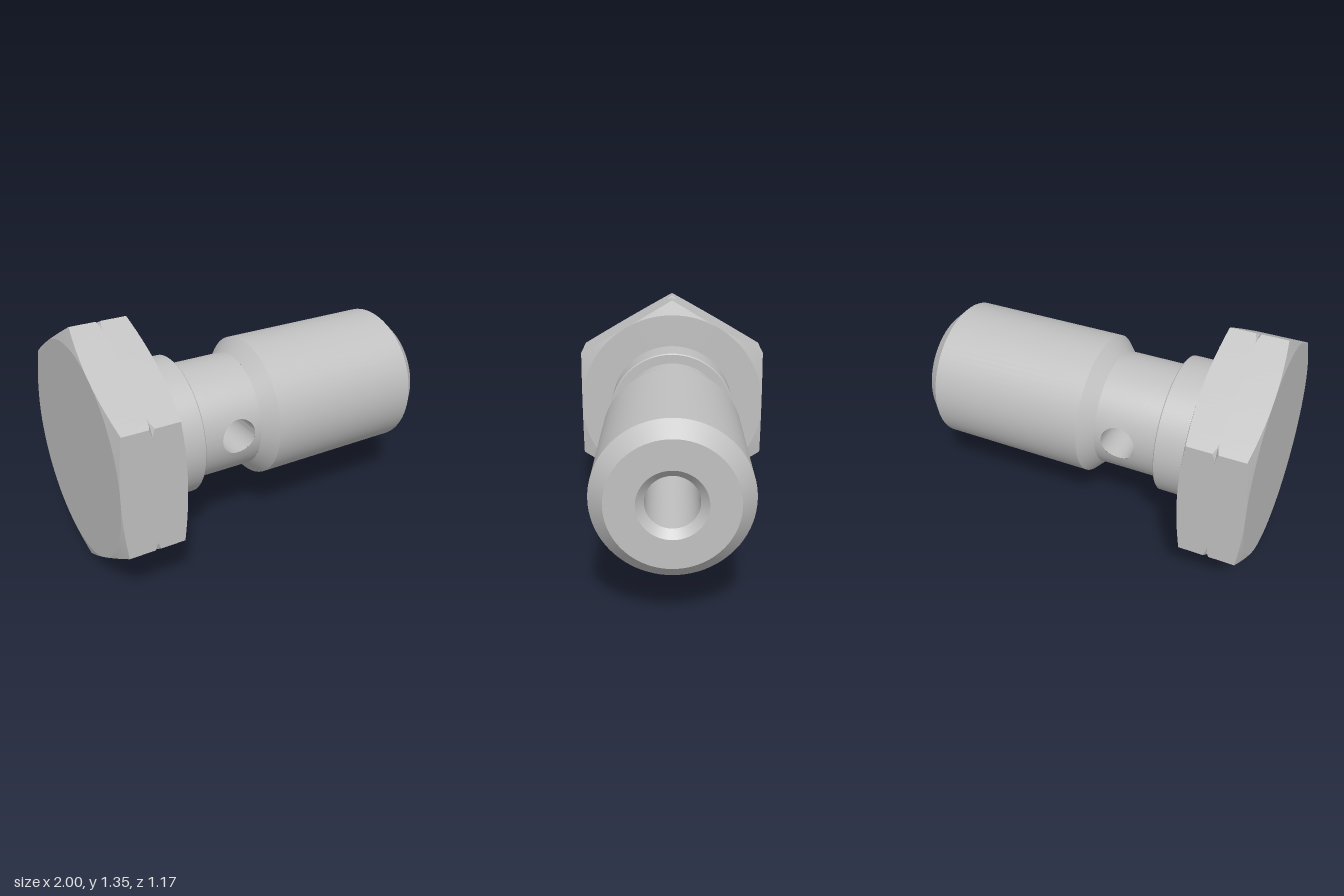
import * as THREE from 'three';
import { mergeGeometries, toCreasedNormals } from 'three/addons/utils/BufferGeometryUtils.js';

const AXIS_Y = 0.677;          // height of the bolt axis
const SHANK_R = 0.327, SHANK_X0 = -0.43, SHANK_X1 = -0.06;
const HOLE_X = -0.2, HOLE_R = 0.1;

// Grid surface: f(i, j) gives a point; the front side is di x dj
function surface(nu, nv, f) {
  const pos = [], index = [];
  for (let i = 0; i <= nu; i++) for (let j = 0; j <= nv; j++) pos.push(...f(i, j));
  for (let i = 0; i < nu; i++) for (let j = 0; j < nv; j++) {
    const a = i * (nv + 1) + j, b = a + nv + 1;
    index.push(a, b, a + 1, b + 1, a + 1, b);
  }
  const g = new THREE.BufferGeometry();
  g.setAttribute('position', new THREE.Float32BufferAttribute(pos, 3));
  g.setIndex(index);
  return g;
}

// Turned part along x from [radius, x] pairs
function turned(profile) {
  const g = new THREE.LatheGeometry(profile.map(([r, x]) => new THREE.Vector2(r, x)), 80);
  g.rotateZ(-Math.PI / 2);
  return toCreasedNormals(g, 0.4);
}

// Hexagonal head: chamfered on both faces, with a V groove nicking the corners
function headGeometry() {
  const apothem = 0.586, x0 = -1, x1 = -0.645, grooveX = -0.82, grooveR = 0.657;
  const perSide = 24, n = perSide * 6, sector = Math.PI / 3;
  return toCreasedNormals(surface(n, 8, (i, j) => {
    const t = (i / n) * Math.PI * 2;
    const r = apothem / Math.cos(((i % perSide) / perSide) * sector - sector / 2);
    const chamfer = (r - apothem) * 0.28;
    const groove = Math.max(0, r - grooveR) * 0.75;
    const [x, q] = [
      [x0, 0], [x0, apothem], [x0 + chamfer, r],
      [grooveX - groove, r], [grooveX, Math.min(r, grooveR)], [grooveX + groove, r],
      [x1 - chamfer, r], [x1, apothem], [x1, 0.3],
    ][j];
    return [x, q * Math.cos(t), q * Math.sin(t)];
  }), 0.15);
}

// Half of the shank wall, spreading from the cross hole to a rectangle of x and angle
function shankHalf() {
  const half = Math.PI / 2, long = 64, short = 14, rim = [];
  const edge = (n, xa, pa, xb, pb) => {
    for (let k = 0; k < n; k++) rim.push([xa + (xb - xa) * k / n, pa + (pb - pa) * k / n]);
  };
  edge(long, SHANK_X1, -half, SHANK_X1, half);
  edge(short, SHANK_X1, half, SHANK_X0, half);
  edge(long, SHANK_X0, half, SHANK_X0, -half);
  edge(short, SHANK_X0, -half, SHANK_X1, -half);
  const steps = 18;
  return surface(rim.length, steps, (i, j) => {
    const [x, p] = rim[i % rim.length];
    const a = Math.atan2(p * SHANK_R, x - HOLE_X), t = j / steps;
    const hx = HOLE_X + HOLE_R * Math.cos(a);
    const hp = Math.asin(HOLE_R * Math.sin(a) / SHANK_R);
    const px = x + (hx - x) * t, pp = p + (hp - p) * t;
    return [px, SHANK_R * Math.sin(pp), SHANK_R * Math.cos(pp)];
  });
}

// Wall of the cross hole, trimmed to the round shank
function holeWall() {
  const n = 64;
  return toCreasedNormals(surface(n, 1, (i, j) => {
    const a = (i / n) * Math.PI * 2, y = HOLE_R * Math.sin(a);
    const z = Math.sqrt(SHANK_R ** 2 - y * y);
    return [HOLE_X + HOLE_R * Math.cos(a), y, j ? -z : z];
  }), 0.4);
}

export function createModel() {
  const steel = new THREE.MeshStandardMaterial({ color: 0xc0c0c0 });
  steel.name = 'steel';
  const model = new THREE.Group();
  model.name = 'hollowBolt';
  const add = (name, geometry) => {
    const mesh = new THREE.Mesh(geometry, steel);
    mesh.name = name;
    mesh.position.y = AXIS_Y;
    model.add(mesh);
  };

  add('hexHead', headGeometry());
  add('collar', turned([
    [0.388, -0.645], [0.388, -0.436], [0.382, SHANK_X0], [SHANK_R, SHANK_X0],
  ]));
  const back = shankHalf().rotateX(Math.PI);
  add('shank', toCreasedNormals(mergeGeometries([shankHalf(), back]), 0.4));
  add('crossHole', holeWall());

  // Body with chamfered ends and a countersunk blind bore ending in a drill point
  add('body', turned([
    [SHANK_R, SHANK_X1], [0.403, 0.015], [0.403, 0.92], [SHANK_R, 1],
    [0.175, 1], [0.134, 0.96], [0.134, -0.018], [0, -0.098],
  ]));
  return model;
}
